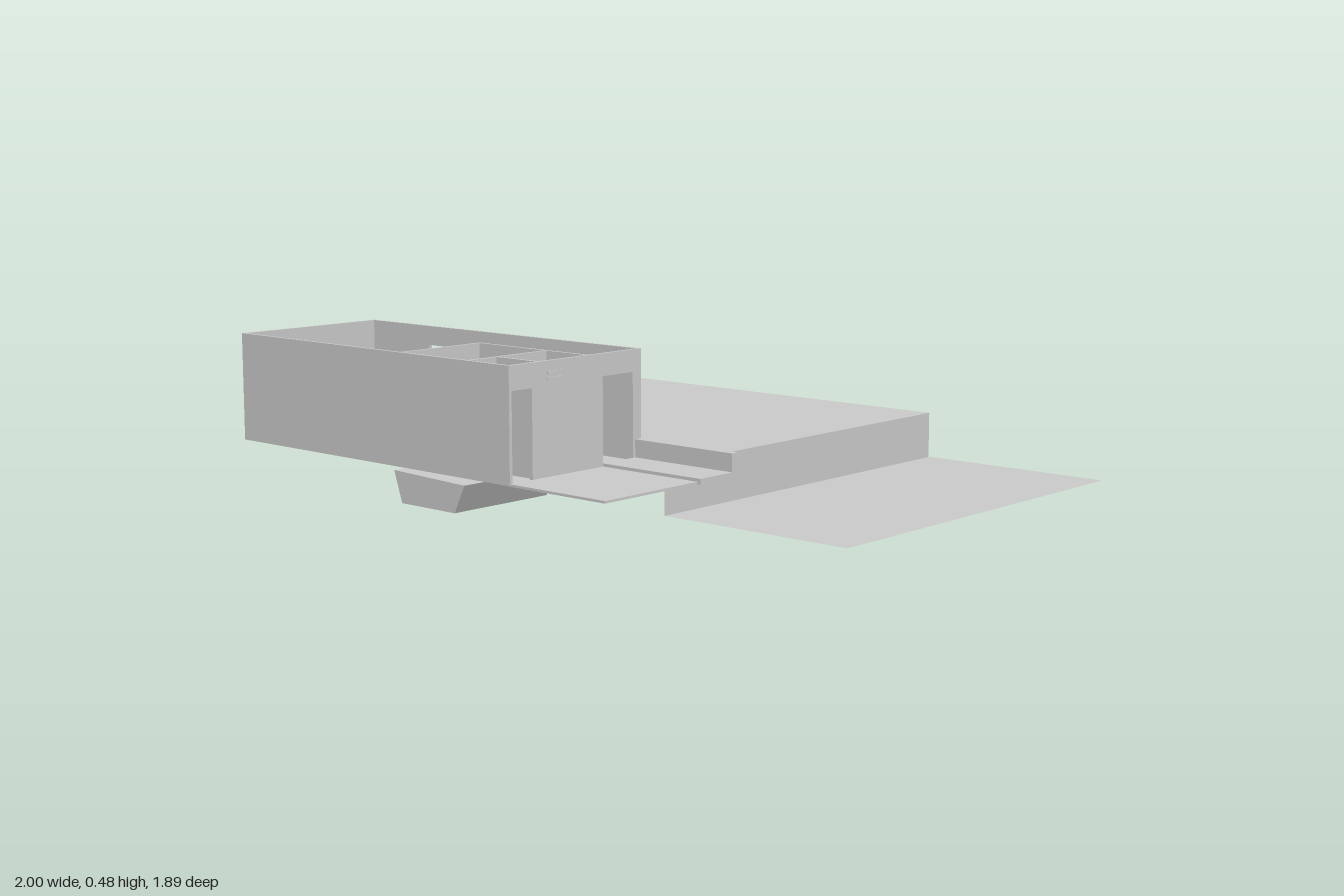
import * as THREE from 'three';

const BASE = 0.15, TOP = 0.48, T = 0.01;

export function createModel() {
  const group = new THREE.Group();
  const grey = new THREE.MeshStandardMaterial({ color: 0xcccccc, side: THREE.DoubleSide });
  grey.name = 'plain grey';

  const add = (name, geometry, x = 0, y = 0, z = 0) => {
    const mesh = new THREE.Mesh(geometry, grey);
    mesh.name = name;
    mesh.position.set(x, y, z);
    group.add(mesh);
    return mesh;
  };

  // box given by its limits on each axis
  const box = (name, x0, x1, y0, y1, z0, z1) =>
    add(name, new THREE.BoxGeometry(x1 - x0, y1 - y0, z1 - z0), (x0 + x1) / 2, (y0 + y1) / 2, (z0 + z1) / 2);

  // horizontal sheet
  const sheet = (name, x0, x1, z0, z1, y) =>
    add(name, new THREE.PlaneGeometry(x1 - x0, z1 - z0).rotateX(-Math.PI / 2), (x0 + x1) / 2, y, (z0 + z1) / 2);

  const rect = (path, a0, a1, y0, y1) =>
    path.moveTo(a0, y0).lineTo(a1, y0).lineTo(a1, y1).lineTo(a0, y1).closePath();

  // upright wall along x or z, with openings [from, to, bottom, top]
  const wall = (name, axis, from, to, at, openings = []) => {
    const shape = new THREE.Shape();
    rect(shape, from, to, BASE, TOP);
    for (const o of openings) {
      const hole = new THREE.Path();
      rect(hole, ...o);
      shape.holes.push(hole);
    }
    const geometry = new THREE.ExtrudeGeometry(shape, { depth: T, bevelEnabled: false });
    if (axis === 'x') return add(name, geometry, 0, 0, at);
    return add(name, geometry.rotateY(-Math.PI / 2), at + T, 0, 0);
  };

  // ground on two levels with the step between them
  sheet('upperGround', -1, 0.345, -0.945, 0.39, BASE);
  sheet('lowerGround', 0.345, 1, -0.95, 0.385, 0);
  add('groundStep', new THREE.PlaneGeometry(1.33, BASE).rotateY(Math.PI / 2), 0.345, BASE / 2, -0.278);

  // house shell
  sheet('houseFloor', -0.917, 0.257, 0.39, 0.917, BASE + 0.002);
  wall('frontWall', 'x', -0.917, 0.257, 0.907);
  wall('backWall', 'x', -0.917, 0.257, 0.39, [
    [-0.64, -0.32, 0.155, 0.42],
    [-0.14, 0.035, 0.25, 0.365],
  ]);
  wall('leftEndWall', 'z', 0.39, 0.917, -0.917, [[0.74, 0.865, 0.155, 0.42]]);
  wall('rightEndWall', 'z', 0.39, 0.917, 0.247, [
    [0.425, 0.55, 0.157, 0.415],
    [0.83, 0.907, 0.155, 0.41],
  ]);

  // window frame
  box('windowSill', -0.14, 0.035, 0.25, 0.258, 0.385, 0.405);
  box('windowHead', -0.14, 0.035, 0.357, 0.365, 0.385, 0.405);
  for (const x of [-0.14, 0.027]) box('windowJamb', x, x + 0.008, 0.25, 0.365, 0.385, 0.405);

  // inner partitions
  wall('longPartition', 'x', -0.195, 0.247, 0.6, [
    [-0.15, 0.02, 0.155, 0.42],
    [0.115, 0.225, 0.155, 0.42],
  ]);
  wall('roomPartition', 'z', 0.6, 0.907, -0.195);
  wall('roomPartition', 'z', 0.6, 0.907, 0.083);
  wall('crossPartition', 'x', 0.093, 0.247, 0.795);

  // wall fittings
  for (const y of [0.425, 0.441]) box('ventSlat', 0.257, 0.261, y, y + 0.009, 0.712, 0.772);
  box('wallLamp', -0.932, -0.917, 0.33, 0.375, 0.873, 0.898);

  // terrace with raised strip and low back wall
  box('terrace', 0.257, 0.612, 0.149, 0.156, 0.55, 0.917);
  box('terraceStrip', 0.257, 0.622, 0.149, 0.165, 0.415, 0.55);
  box('lowWall', 0.257, 0.622, 0.15, 0.218, 0.39, 0.415);

  // drain pipes under the terrace
  for (const x of [0.41, 0.45])
    add('drainPipe', new THREE.CylinderGeometry(0.008, 0.008, 0.12, 16, 1, true).rotateX(Math.PI / 2), x, 0.14, 0.44);

  // tapered pit under the house
  const pit = new THREE.Shape();
  pit.moveTo(-0.195, 0.144).lineTo(-0.163, 0.052).lineTo(0.057, 0.052).lineTo(0.098, 0.135).closePath();
  add('pit', new THREE.ExtrudeGeometry(pit, { depth: 0.36, bevelEnabled: false }), 0, 0, 0.578);

  return group;
}
